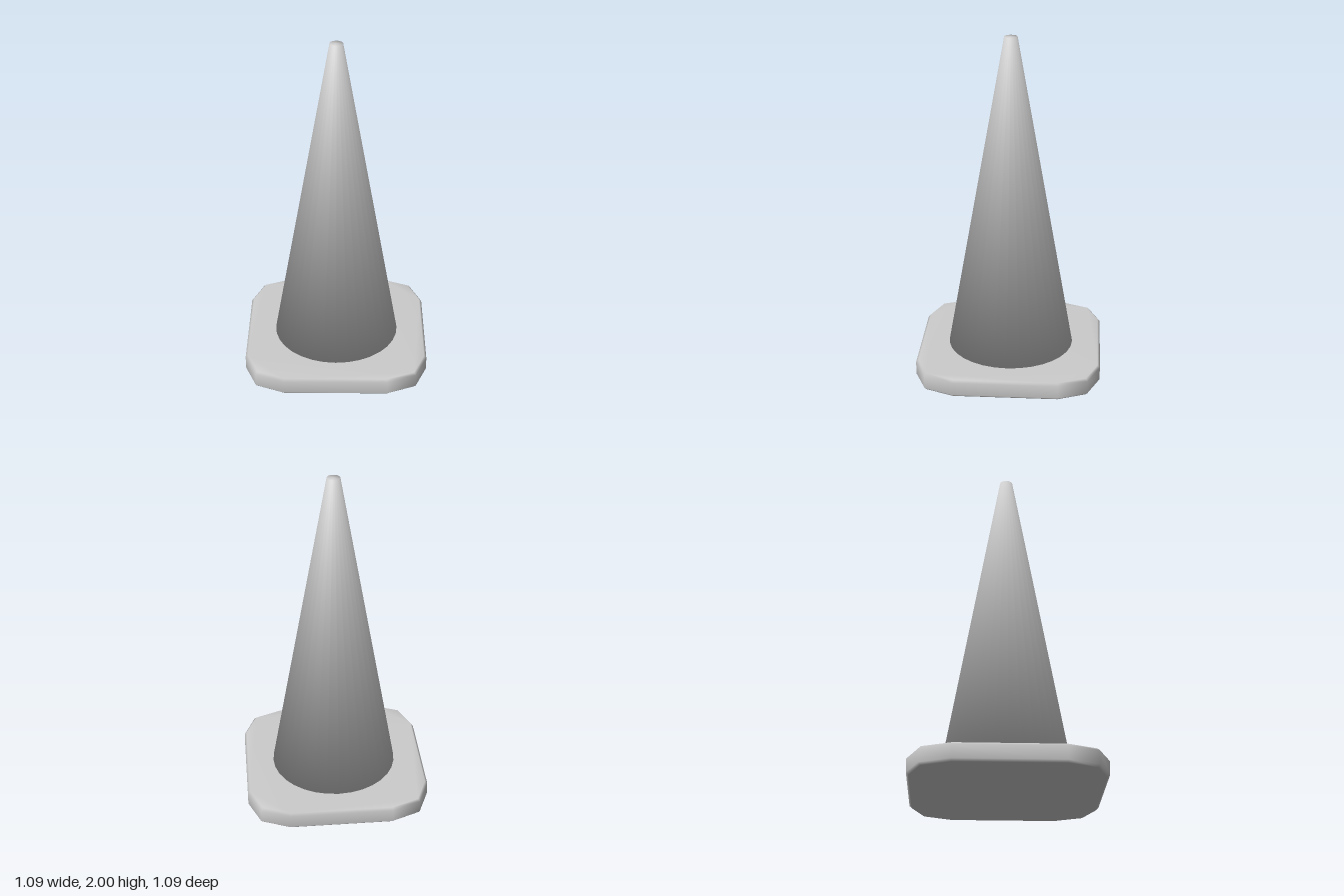
import * as THREE from 'three';
import { mergeVertices } from 'three/addons/utils/BufferGeometryUtils.js';

const BASE_HEIGHT = 0.105, HALF_WIDTH = 0.545, CORNER = 0.24, BEVEL = 0.014;
const TOTAL_HEIGHT = 2, BOTTOM_RADIUS = 0.375, TOP_RADIUS = 0.038;

// Drop per-face attributes and share vertices so the shading is smooth
function weld(geometry) {
  geometry.deleteAttribute('uv');
  geometry.deleteAttribute('normal');
  const welded = mergeVertices(geometry, 1e-4);
  welded.computeVertexNormals();
  return welded;
}

// Square slab with two-segment rounded corners and a small bevel
function baseGeometry() {
  const points = [];
  const inner = HALF_WIDTH - CORNER;
  for (let corner = 0; corner < 4; corner++) {
    const middle = Math.PI / 4 + corner * Math.PI / 2;
    const cx = Math.sign(Math.cos(middle)) * inner;
    const cy = Math.sign(Math.sin(middle)) * inner;
    for (let step = -1; step <= 1; step++) {
      const a = middle + step * Math.PI / 4;
      points.push(new THREE.Vector2(cx + CORNER * Math.cos(a), cy + CORNER * Math.sin(a)));
    }
  }
  const geometry = new THREE.ExtrudeGeometry(new THREE.Shape(points), {
    depth: BASE_HEIGHT - 2 * BEVEL,
    bevelEnabled: true,
    bevelSegments: 1,
    bevelSize: BEVEL,
    bevelOffset: -BEVEL,
    bevelThickness: BEVEL,
  });
  geometry.rotateX(-Math.PI / 2);
  geometry.translate(0, BEVEL, 0);
  return weld(geometry);
}

// Tapered body with its caps smoothed into the wall
function coneGeometry() {
  const height = TOTAL_HEIGHT - BASE_HEIGHT;
  const geometry = weld(new THREE.CylinderGeometry(TOP_RADIUS, BOTTOM_RADIUS, height, 32));
  const { position, normal } = geometry.attributes;
  const slope = Math.atan2(BOTTOM_RADIUS - TOP_RADIUS, height);
  const n = new THREE.Vector3();
  for (let i = 0; i < position.count; i++) {
    const x = position.getX(i), z = position.getZ(i);
    const cap = Math.sign(position.getY(i));
    // Rim normals average the wall and the cap; cap centres stay vertical
    if (Math.hypot(x, z) < 1e-3) n.set(0, cap, 0);
    else n.set(x, 0, z).setLength(Math.cos(slope)).setY(Math.sin(slope) + cap).normalize();
    normal.setXYZ(i, n.x, n.y, n.z);
  }
  geometry.translate(0, BASE_HEIGHT + height / 2, 0);
  return geometry;
}

export function createModel() {
  const model = new THREE.Group();
  model.name = 'trafficCone';
  const material = new THREE.MeshStandardMaterial({ color: 0xcccccc });
  const parts = { base: baseGeometry(), cone: coneGeometry() };
  for (const [name, geometry] of Object.entries(parts)) {
    const mesh = new THREE.Mesh(geometry, material);
    mesh.name = name;
    model.add(mesh);
  }
  return model;
}
